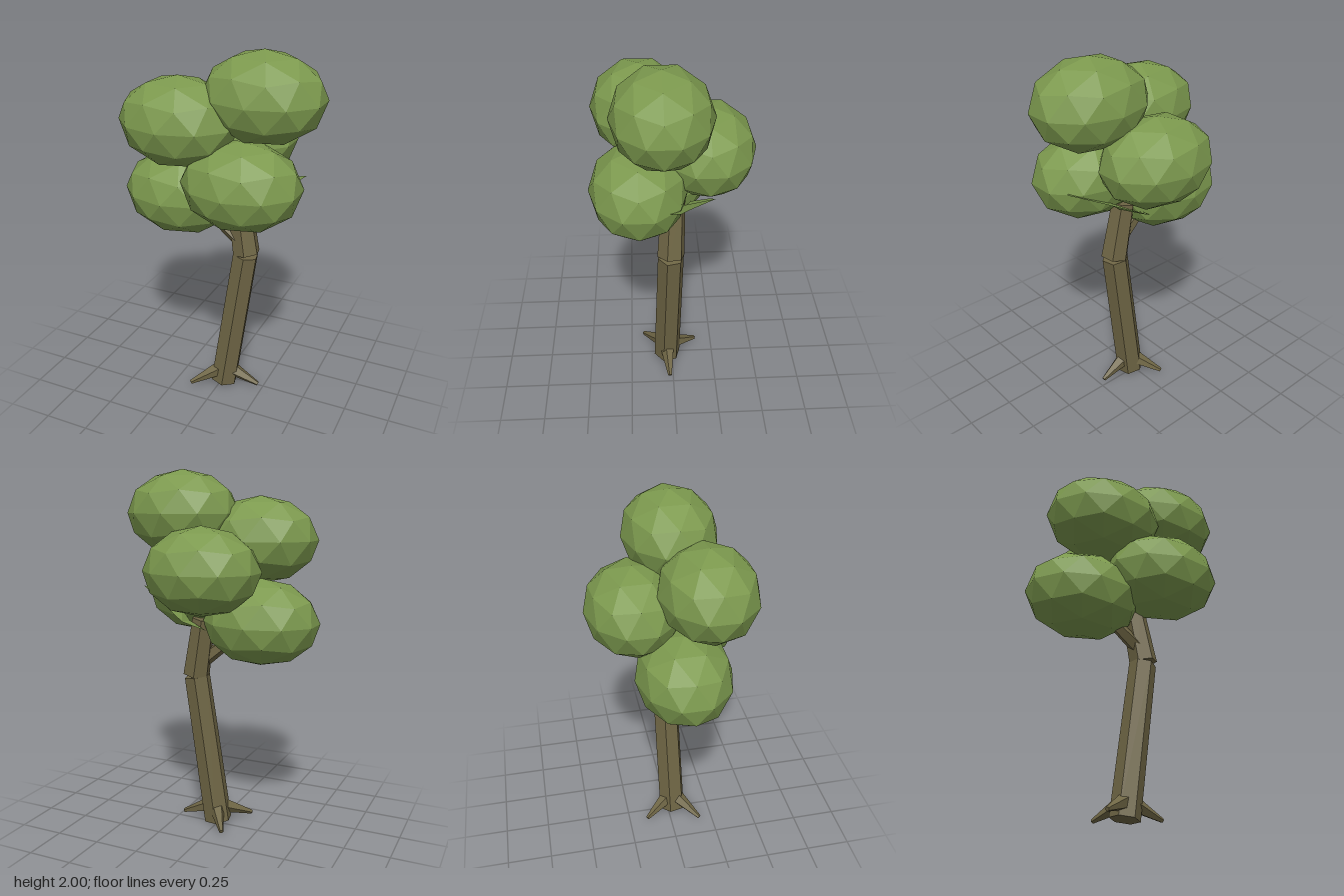
import * as THREE from 'three';

const bark = new THREE.MeshStandardMaterial({ color: 0x6f6645, flatShading: true });
bark.name = 'bark brown';
const leaf = new THREE.MeshStandardMaterial({ color: 0x7c994e, flatShading: true, side: THREE.DoubleSide });
leaf.name = 'leaf green';

// Tapered limb with a given number of sides running from point a to point b
function limb(name, a, b, r0, r1, sides, turn = 0) {
  const from = new THREE.Vector3(...a), to = new THREE.Vector3(...b);
  const dir = to.clone().sub(from);
  const geo = new THREE.CylinderGeometry(r1, r0, dir.length(), sides, 1, false, turn);
  const mesh = new THREE.Mesh(geo, bark);
  mesh.name = name;
  mesh.position.copy(from).add(to).multiplyScalar(0.5);
  mesh.quaternion.setFromUnitVectors(new THREE.Vector3(0, 1, 0), dir.normalize());
  return mesh;
}

// Faceted ball with a corner at each pole, stretched sideways
function foliageGeometry() {
  const pts = [0, 1, 0], faces = [];
  for (const [y, offset] of [[0.4472, 0], [-0.4472, 0.5]]) {
    for (let k = 0; k < 5; k++) {
      const t = (k + offset) * Math.PI * 0.4;
      pts.push(Math.cos(t) * 0.8944, y, Math.sin(t) * 0.8944);
    }
  }
  pts.push(0, -1, 0);
  for (let k = 0; k < 5; k++) {
    const n = (k + 1) % 5;
    const u0 = 1 + k, u1 = 1 + n, l0 = 6 + k, l1 = 6 + n;
    faces.push(0, u1, u0, u0, u1, l0, l0, u1, l1, 11, l0, l1);
  }
  const geo = new THREE.PolyhedronGeometry(pts, faces, 1, 1);
  geo.scale(0.3225, 0.235, 0.255);
  geo.computeVertexNormals();
  return geo;
}

// Flat ragged leaf sheet, given as pairs of points across its width
function leafSheet() {
  const pairs = [
    [[0.45, 1.365, -0.02], [0.41, 1.34, 0.03]],
    [[0.33, 1.315, -0.09], [0.22, 1.25, 0]],
    [[0.1, 1.215, -0.23], [0.145, 1.19, -0.05]],
    [[0.06, 1.19, -0.19], [0.02, 1.15, -0.1]],
  ];
  const pos = [];
  for (let i = 0; i < pairs.length - 1; i++) {
    const [a, b] = pairs[i], [c, d] = pairs[i + 1];
    pos.push(...a, ...c, ...b, ...b, ...c, ...d);
  }
  const geo = new THREE.BufferGeometry();
  geo.setAttribute('position', new THREE.Float32BufferAttribute(pos, 3));
  geo.computeVertexNormals();
  const mesh = new THREE.Mesh(geo, leaf);
  mesh.name = 'leafSheet';
  return mesh;
}

export function createModel() {
  const tree = new THREE.Group();
  tree.name = 'tree';

  // Bent trunk and side branch
  const turn = THREE.MathUtils.degToRad(13);
  tree.add(limb('lowerTrunk', [0.01, 0.012, 0.03], [0.13, 0.865, 0.01], 0.08, 0.074, 6, turn));
  tree.add(limb('upperTrunk', [0.135, 0.875, 0.01], [0.08, 1.2, -0.005], 0.077, 0.066, 6, turn));
  tree.add(limb('branch', [0.12, 0.94, 0.02], [-0.11, 1.12, 0.03], 0.045, 0.03, 5));

  // Three splayed roots
  for (const [x, z] of [[0.225, 0.02], [-0.145, 0.17], [-0.09, -0.145]]) {
    const start = [0.02 + x * 0.15, 0.095, 0.03 + (z - 0.03) * 0.15];
    tree.add(limb('root', start, [x, 0.025, z], 0.045, 0.012, 5));
  }

  // Five foliage clumps
  const ball = foliageGeometry();
  const clumps = [
    [0.235, 1.765, 0.055], [-0.18, 1.625, 0.165], [0.17, 1.335, 0.175],
    [-0.24, 1.195, 0.035], [0.01, 1.475, -0.18],
  ];
  for (const p of clumps) {
    const mesh = new THREE.Mesh(ball, leaf);
    mesh.name = 'foliageClump';
    mesh.position.set(...p);
    tree.add(mesh);
  }
  tree.add(leafSheet());
  return tree;
}
